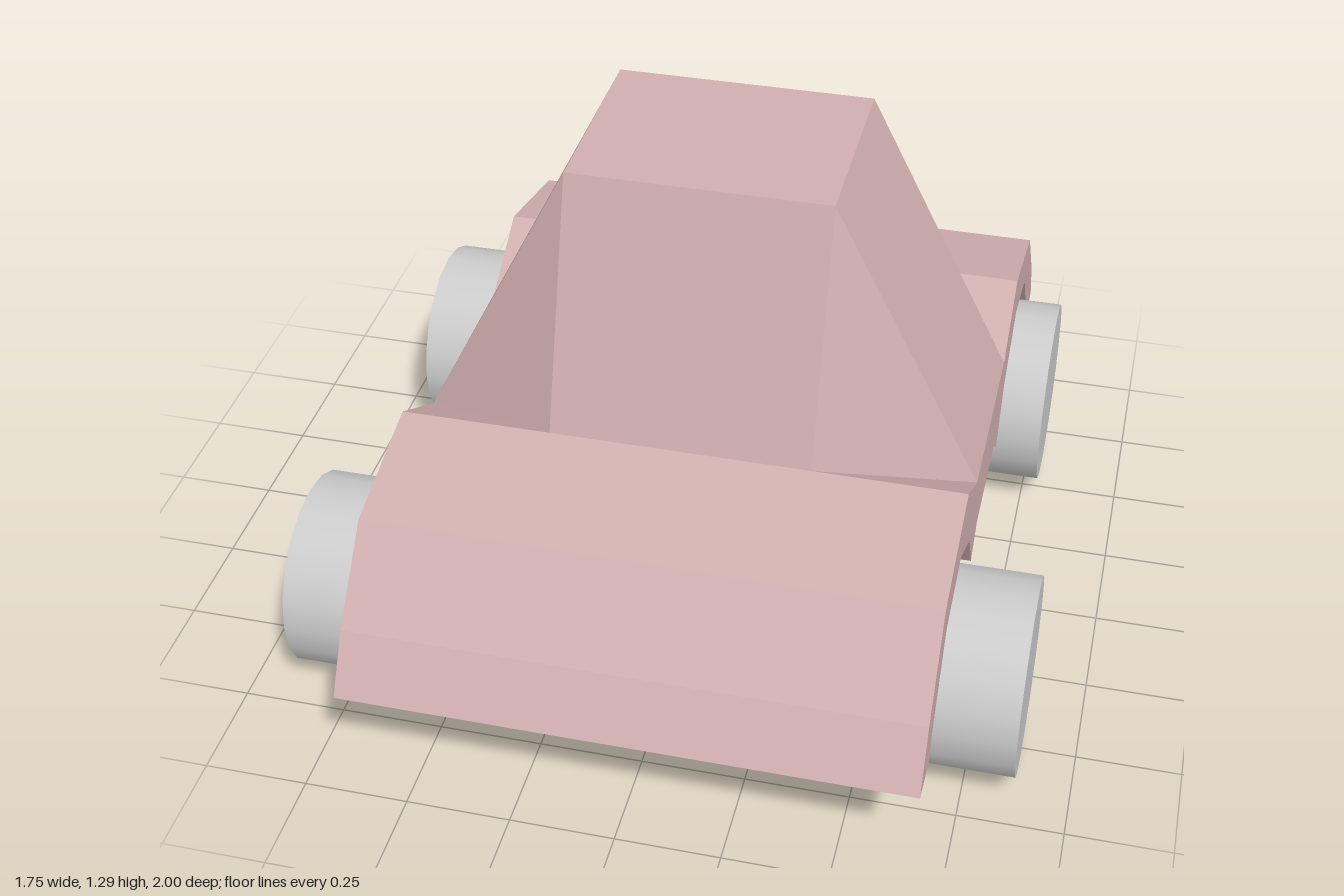
import * as THREE from 'three';
import { ConvexGeometry } from 'three/addons/geometries/ConvexGeometry.js';

const X0 = -0.65, X1 = 0.69; // body sides

// Half of the side outline as [z, y], from the cabin seat over the fender to the belly
const HALF = [
  [0.245, 0.58], [0.44, 0.7], [0.755, 0.625], [0.92, 0.435], [1, 0.3], [0.87, 0.28],
  [0.845, 0.35], [0.705, 0.525], [0.5, 0.565], [0.315, 0.46], [0.23, 0.325], [0.155, 0.385],
];

// Body: mirrored side outline extruded across the width
function createBody(material) {
  const mirrored = HALF.map(([z, y]) => [-z, y]).reverse();
  const shape = new THREE.Shape([...HALF, ...mirrored].map(([z, y]) => new THREE.Vector2(-z, y)));
  const geometry = new THREE.ExtrudeGeometry(shape, { depth: X1 - X0, bevelEnabled: false });
  geometry.rotateY(Math.PI / 2).translate(X0, 0, 0);
  const mesh = new THREE.Mesh(geometry, material);
  mesh.name = 'body';
  return mesh;
}

// Cabin: flat roof, front and back panes, wide sides and triangular corner panes
function createCabin(material) {
  const points = [];
  for (const [roofX, sideX] of [[-0.29, X0], [0.33, X1]]) {
    for (const s of [-1, 1]) {
      points.push(
        new THREE.Vector3(roofX, 1.29, 0.245 * s),
        new THREE.Vector3(roofX, 0.7, 0.44 * s),
        new THREE.Vector3(sideX, 0.58, 0.245 * s),
      );
    }
  }
  const mesh = new THREE.Mesh(new ConvexGeometry(points), material);
  mesh.name = 'cabin';
  return mesh;
}

export function createModel() {
  const model = new THREE.Group();
  model.name = 'car';
  const paint = new THREE.MeshStandardMaterial({ color: 0xd0aeae, flatShading: true });
  const grey = new THREE.MeshStandardMaterial({ color: 0xcccccc });
  model.add(createBody(paint), createCabin(paint));

  // Wheels, each placed slightly differently
  const wheelGeometry = new THREE.CylinderGeometry(0.236, 0.236, 0.45, 20).rotateZ(Math.PI / 2);
  const wheels = [
    ['frontRightWheel', -0.655, 0.236, 0.507],
    ['frontLeftWheel', 0.648, 0.258, 0.525],
    ['backRightWheel', -0.655, 0.236, -0.533],
    ['backLeftWheel', 0.568, 0.272, -0.57],
  ];
  for (const [name, x, y, z] of wheels) {
    const wheel = new THREE.Mesh(wheelGeometry, grey);
    wheel.name = name;
    wheel.position.set(x, y, z);
    model.add(wheel);
  }
  return model;
}
